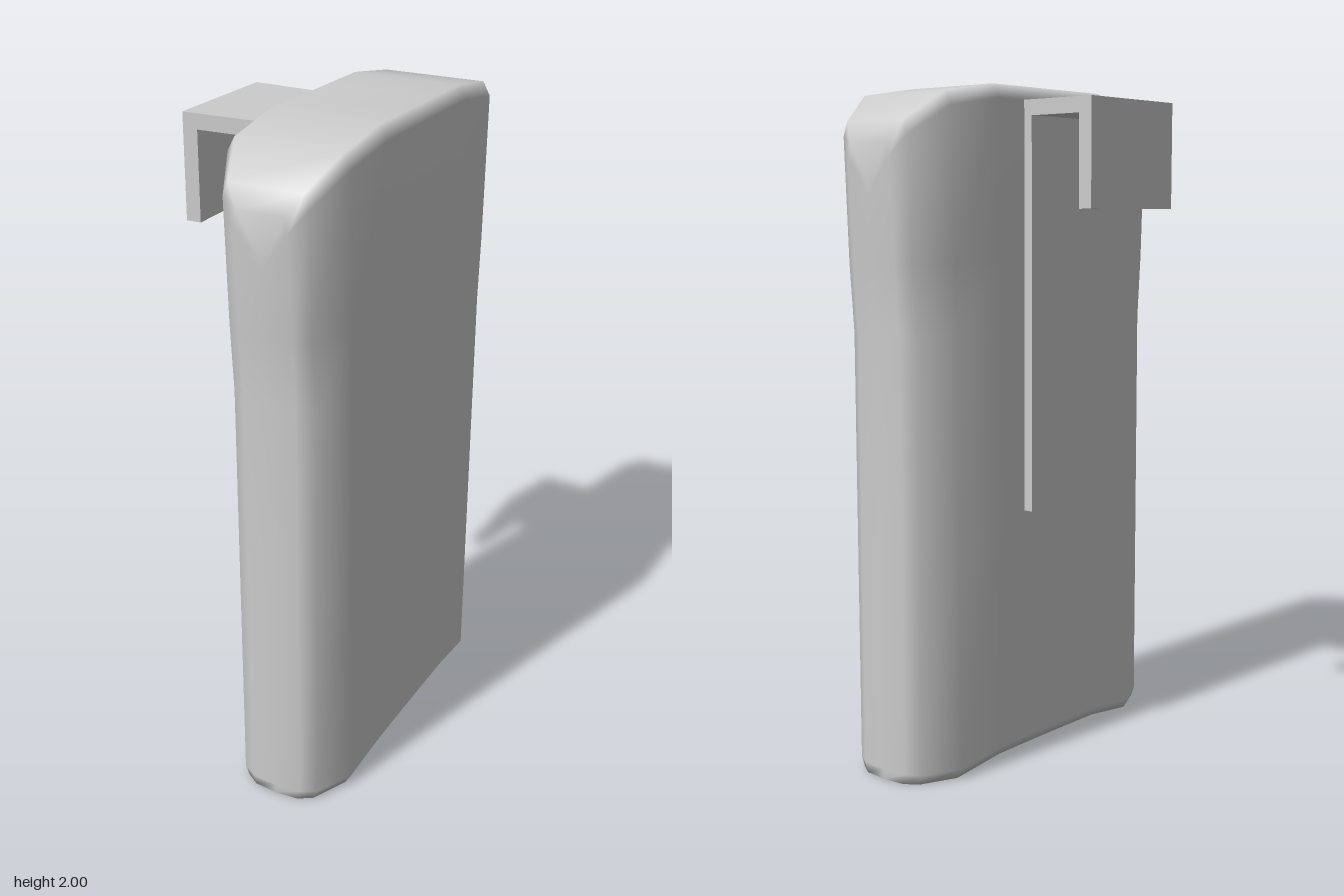
import * as THREE from 'three';

const CENTRE_X = 0.125;
const grey = new THREE.MeshStandardMaterial({ color: 0xcccccc });

// Piecewise-linear lookup through [position, value] pairs
function lerpTable(table, p) {
  for (let i = 1; i < table.length; i++) {
    const [p0, v0] = table[i - 1], [p1, v1] = table[i];
    if (p <= p1) return v0 + (v1 - v0) * Math.max(0, (p - p0) / (p1 - p0));
  }
  return table[table.length - 1][1];
}

// Height of the top and bottom outlines by distance from the middle
const TOP = [[0.24, 2.0], [0.43, 1.97], [0.545, 1.89], [0.573, 1.83], [0.58, 1.72]];
const BOTTOM = [[0.23, 0.028], [0.42, 0.004], [0.58, 0.004]];
// The body is slightly wider near the top
const FLARE = [[1.3, 0.948], [1.5, 0.975], [1.72, 1]];

// Full plan outline, mirrored from one quadrant (x, z), from +x towards +z
function planOutline() {
  const q = [[0.186, 0.08], [0.186, 0.24], [0.18, 0.43], [0.125, 0.545], [0.08, 0.573]];
  const half = [...q, [0, 0.58], ...q.slice().reverse().map(([x, z]) => [-x, z])];
  return [...half, ...half.slice().reverse().map(([x, z]) => [x, -z])];
}

// Rounded slab: wall rings between the two curved outlines, closed by strips
function bodyGeometry() {
  const plan = planOutline();
  const n = plan.length;
  const levels = [
    { inset: 0.9, y: (b, t) => b },
    { inset: 1, y: (b, t) => b + 0.03 },
    { inset: 1, y: (b, t) => 0.7 },
    { inset: 1, y: (b, t) => 1.3 },
    { inset: 1, y: (b, t) => 1.5 },
    { inset: 1, y: (b, t) => t - 0.04 },
    { inset: 0.88, y: (b, t) => t },
  ];
  const pos = [], index = [];
  for (const { inset, y } of levels) {
    for (const [x, z] of plan) {
      const h = y(lerpTable(BOTTOM, Math.abs(z)), lerpTable(TOP, Math.abs(z)));
      pos.push(CENTRE_X + x * inset, h, z * lerpTable(FLARE, h));
    }
  }
  // Walls
  for (let r = 0; r < levels.length - 1; r++) {
    for (let i = 0; i < n; i++) {
      const a = r * n + i, b = r * n + (i + 1) % n;
      index.push(a, a + n, b, b, a + n, b + n);
    }
  }
  // Top and bottom strips join each outline point to its mirror in x
  const h = n / 2;
  const last = (levels.length - 1) * n;
  const mirror = (i) => (i < h ? h - 1 - i : n - 1 - (i - h));
  const mid = (h - 1) / 2;
  const rows = [];
  for (let k = 0; k <= mid; k++) rows.push([mid - k, mirror(mid - k)]);
  // the second half of the outline runs from -x back to +x at negative z
  for (let k = 0; k <= mid; k++) rows.push([n - 1 - k, h + k]);
  for (let k = 0; k < rows.length - 1; k++) {
    const [p0, m0] = rows[k], [p1, m1] = rows[k + 1];
    const quad = [[p0, p1, m0], [m0, p1, m1]];
    for (const [a, b, c] of quad) {
      if (a === c || b === c || a === b) continue;
      index.push(last + a, last + b, last + c);
      index.push(a, c, b);
    }
  }
  const geo = new THREE.BufferGeometry();
  geo.setAttribute('position', new THREE.Float32BufferAttribute(pos, 3));
  geo.setIndex(index);
  geo.computeVertexNormals();
  return geo;
}

// Hooked clip: a bent strip profile, slightly wider towards the hook
function clipGeometry() {
  const profile = [
    [-0.055, 0.76], [-0.055, 1.96], [-0.313, 1.96], [-0.313, 1.65],
    [-0.268, 1.65], [-0.268, 1.915], [-0.09, 1.915], [-0.09, 0.76],
  ];
  const shape = new THREE.Shape(profile.map(([x, y]) => new THREE.Vector2(x, y)));
  const geo = new THREE.ExtrudeGeometry(shape, { depth: 2, bevelEnabled: false });
  const p = geo.attributes.position;
  for (let i = 0; i < p.count; i++) {
    const halfWidth = 0.185 + 0.04 * (-0.06 - p.getX(i));
    p.setZ(i, 0.055 + (p.getZ(i) - 1) * halfWidth);
  }
  geo.computeVertexNormals();
  return geo;
}

export function createModel() {
  const model = new THREE.Group();
  model.name = 'clipOnCase';
  const parts = { body: bodyGeometry(), clip: clipGeometry() };
  for (const [name, geometry] of Object.entries(parts)) {
    const mesh = new THREE.Mesh(geometry, grey);
    mesh.name = name;
    model.add(mesh);
  }
  return model;
}
